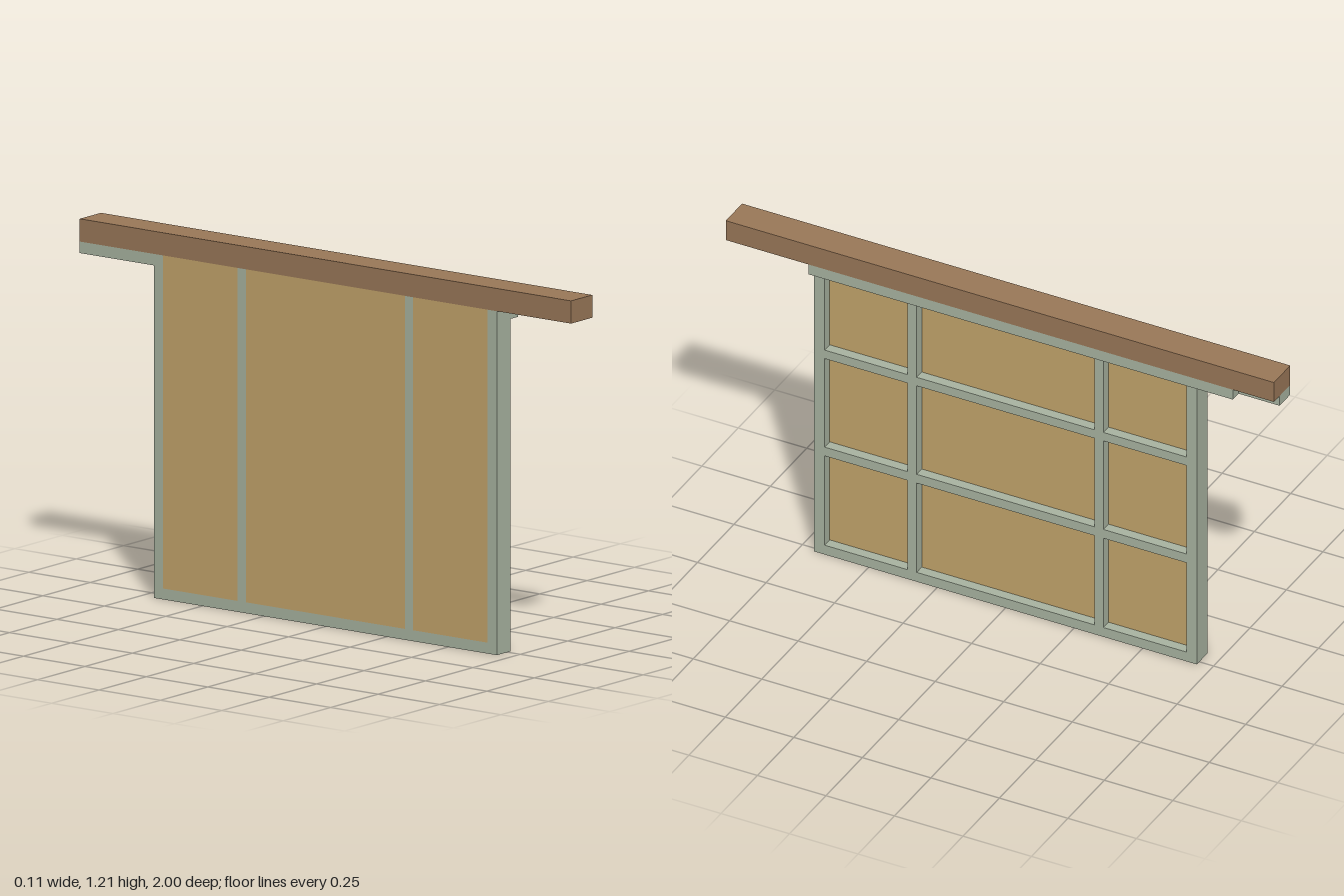
import * as THREE from 'three';

export function createModel() {
  const model = new THREE.Group();
  model.name = 'slidingLatticeDoor';

  const material = (name, color) => {
    const m = new THREE.MeshStandardMaterial({ color });
    m.name = name;
    return m;
  };
  const wood = material('brown wood', 0x9b7959);
  const paint = material('sage paint', 0xaab5a2);
  const board = material('tan board', 0xc5a66c);

  // Box given by its extents along each axis
  const box = (name, mat, [x0, x1], [y0, y1], [z0, z1], parent = model) => {
    const mesh = new THREE.Mesh(new THREE.BoxGeometry(x1 - x0, y1 - y0, z1 - z0), mat);
    mesh.position.set((x0 + x1) / 2, (y0 + y1) / 2, (z0 + z1) / 2);
    mesh.name = name;
    parent.add(mesh);
  };

  const back = -0.056, panelFace = -0.018, face = 0.017, railFace = 0.056;
  const railBottom = 1.097, railTop = 1.135, top = 1.21;
  const half = 0.698, inner = 0.66, sill = 0.036;

  // Header beam and the track below it
  box('headerBeam', wood, [back, railFace], [railTop, top], [-1, 1]);
  box('trackExtension', paint, [back, face], [railBottom, railTop], [-1, -half]);
  box('trackLip', paint, [face, railFace], [railBottom, railTop], [-0.85, half]);

  // Door frame
  const door = new THREE.Group();
  door.name = 'door';
  model.add(door);
  for (const [name, z] of [['frontStile', [inner, half]], ['backStile', [-half, -inner]]]) {
    box(name, paint, [back, face], [0, railTop], z, door);
  }
  box('bottomRail', paint, [back, face], [0, sill], [-inner, inner], door);

  // Upright bars run through the full thickness of the door
  const barIn = 0.324, barOut = 0.357;
  for (const z of [[barIn, barOut], [-barOut, -barIn]]) {
    box('uprightBar', paint, [back, face], [sill, railTop], z, door);
  }

  // Boards between the uprights, with cross bars on their open side
  const bays = [[-inner, -barOut], [-barIn, barIn], [barOut, inner]];
  const bars = [[0.382, 0.416], [0.759, 0.792], [railBottom, railTop]];
  for (const z of bays) {
    box('panel', board, [back, panelFace], [sill, railTop], z, door);
    for (const y of bars) box('crossBar', paint, [panelFace, face], y, z, door);
  }

  return model;
}
